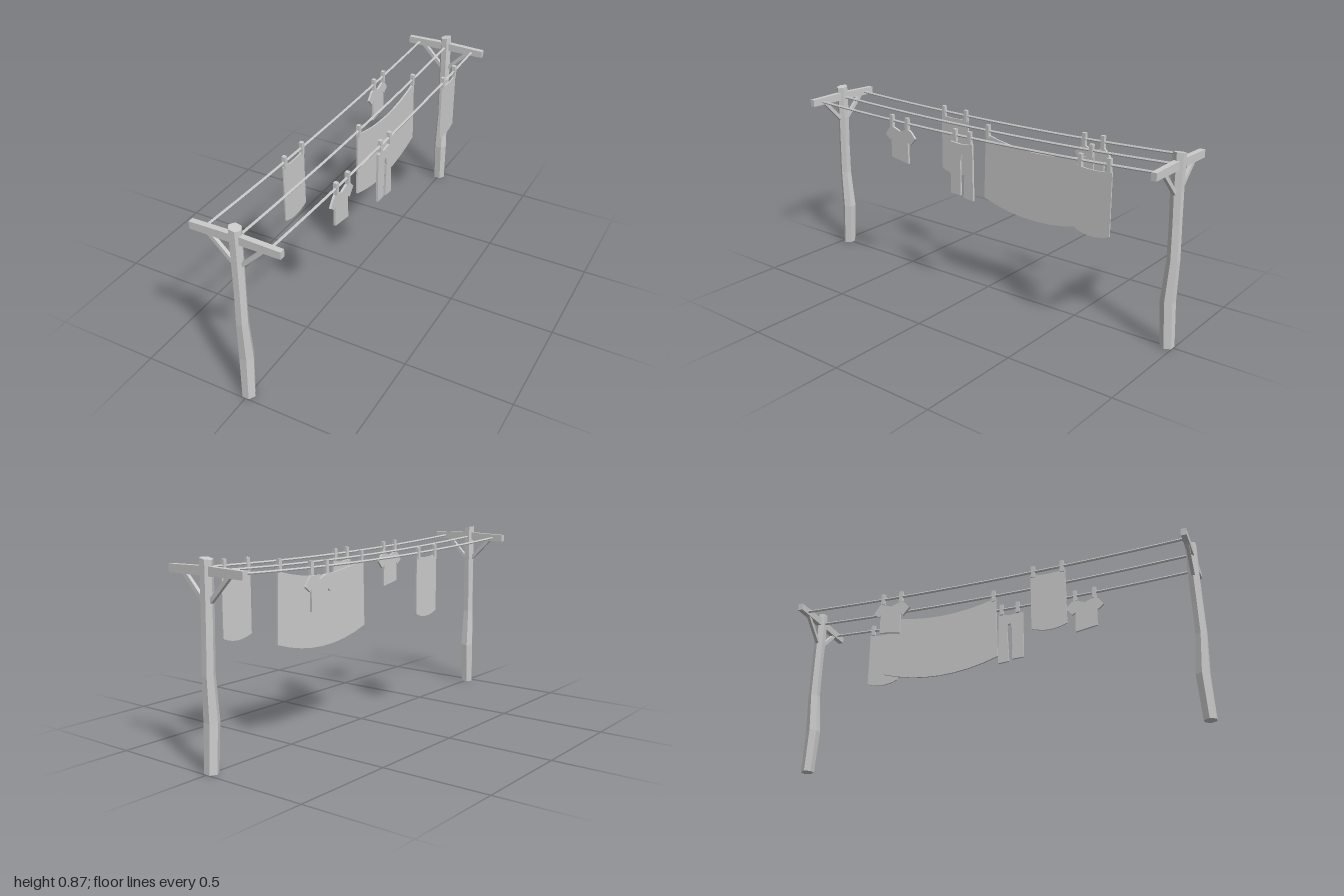
import * as THREE from 'three';

const mat = new THREE.MeshStandardMaterial({ color: 0xcccccc, flatShading: true, side: THREE.DoubleSide });
const END = 0.965, LINE_X = 0.147;
const ropeY = z => 0.785 + 0.023 * (z / END) ** 2;

function add(parent, geo, name) {
  const mesh = new THREE.Mesh(geo, mat);
  mesh.name = name;
  parent.add(mesh);
  return mesh;
}

// Move every vertex of a geometry by a rule
function warp(geo, rule) {
  const p = geo.attributes.position, v = new THREE.Vector3();
  for (let i = 0; i < p.count; i++) {
    rule(v.fromBufferAttribute(p, i));
    p.setXYZ(i, v.x, v.y, v.z);
  }
  geo.computeVertexNormals();
  return geo;
}

// Crooked six-sided post with a crossbar and two braces
function makePost() {
  const g = new THREE.Group();
  // rings: height, radius, x offset, z offset
  const rings = [
    [0, 0.031, 0, 0.006], [0.21, 0.034, -0.002, -0.005], [0.4, 0.028, 0, 0.006],
    [0.56, 0.027, 0.001, 0.003], [0.7, 0.028, 0, 0], [0.86, 0.028, 0.001, 0],
  ];
  const n = rings.length - 1;
  add(g, warp(new THREE.CylinderGeometry(1, 1, n, 6, n).rotateY(Math.PI / 6), v => {
    const i = Math.round(v.y + n / 2), [y, r, dx, dz] = rings[i];
    v.set(v.x * r + dx, y - (i === n ? v.x * 0.005 : 0), v.z * r + dz);
  }), 'post');

  // Crossbar, slightly crowned in the middle
  add(g, warp(new THREE.BoxGeometry(0.412, 0.035, 0.025, 4, 1, 1), v => {
    if (v.y > 0) v.y += 0.004 - Math.abs(v.x) * 0.025;
    v.y += 0.8095;
  }), 'crossbar');

  for (const s of [-1, 1]) {
    const brace = add(g, new THREE.BoxGeometry(0.155, 0.018, 0.016), 'brace');
    brace.position.set(s * 0.075, 0.748, 0);
    brace.rotation.z = s * Math.PI / 4;
  }
  return g;
}

// Cloth outline drawn as (z, y), given a thickness along x
function cloth(parent, shape, x, thick, name) {
  const geo = new THREE.ExtrudeGeometry(shape, { depth: thick, bevelEnabled: false, curveSegments: 8 });
  geo.translate(0, 0, -thick / 2).rotateY(-Math.PI / 2);
  add(parent, geo, name).position.x = x;
}

// Hanging rectangle with sagging top and bottom edges
function sheetShape(z0, z1, top, bottom, sagTop, sagBottom, flare = 0) {
  const s = new THREE.Shape(), m = (z0 + z1) / 2;
  s.moveTo(z0 - flare, bottom);
  s.quadraticCurveTo(m, bottom - 2 * sagBottom, z1 + flare, bottom);
  s.lineTo(z1, top);
  s.quadraticCurveTo(m, top - 2 * sagTop, z0, top);
  s.closePath();
  return s;
}

function outline(points, z = 0, flip = 1) {
  return new THREE.Shape(points.map(([a, y]) => new THREE.Vector2(z + flip * a, y)));
}

const SHIRT = [
  [0.025, 0.752], [0.055, 0.762], [0.072, 0.745], [0.093, 0.715], [0.063, 0.692], [0.056, 0.705],
  [0.056, 0.608], [-0.052, 0.59], [-0.05, 0.695], [-0.066, 0.683], [-0.098, 0.72],
  [-0.072, 0.75], [-0.052, 0.76], [-0.022, 0.75], [0, 0.742],
];

const TROUSERS = [
  [0.1, 0.752], [0.1, 0.505], [0.042, 0.503], [0.043, 0.58], [0.042, 0.67], [0.036, 0.696],
  [0.029, 0.7], [0.021, 0.693], [0.016, 0.66], [0.02, 0.58], [0.024, 0.495], [-0.032, 0.49],
  [-0.028, 0.755], [0.035, 0.747],
];

export function createModel() {
  const model = new THREE.Group();
  model.name = 'washingLine';

  // Posts at both ends, the back one turned round
  for (const s of [1, -1]) {
    const post = makePost();
    post.name = s > 0 ? 'frontPost' : 'backPost';
    post.position.z = s * END;
    if (s < 0) post.rotation.y = Math.PI;
    model.add(post);
  }

  // Three sagging lines
  for (const x of [-LINE_X, 0, LINE_X]) {
    const pts = [];
    for (let i = 0; i <= 8; i++) {
      const z = END * (i / 4 - 1);
      pts.push(new THREE.Vector3(x, ropeY(z), z));
    }
    add(model, new THREE.TubeGeometry(new THREE.CatmullRomCurve3(pts), 16, 0.006, 6), 'line');
  }

  // Pegs on each line
  const pegs = [
    [LINE_X, [-0.735, -0.597, -0.012, 0.073, 0.37, 0.467]],
    [0, [-0.558, 0]],
    [-LINE_X, [-0.525, -0.428, 0.253, 0.393]],
  ];
  for (const [x, zs] of pegs) {
    for (const z of zs) {
      add(model, new THREE.BoxGeometry(0.017, 0.058, 0.018), 'peg').position.set(x, ropeY(z) - 0.001, z);
    }
  }

  // Washing
  cloth(model, sheetShape(-0.57, 0.012, 0.77, 0.457, 0.043, 0.052, 0.008), 0, 0.008, 'sheet');
  cloth(model, sheetShape(-0.75, -0.583, 0.77, 0.492, 0.008, 0.018), LINE_X, 0.006, 'backTowel');
  cloth(model, sheetShape(0.24, 0.408, 0.77, 0.492, 0.008, 0.018), -LINE_X, 0.006, 'frontTowel');
  cloth(model, outline(SHIRT, 0.42), LINE_X - 0.004, 0.01, 'frontShirt');
  cloth(model, outline(SHIRT, -0.477, -1), -LINE_X - 0.004, 0.01, 'backShirt');
  cloth(model, outline(TROUSERS), LINE_X, 0.01, 'trousers');

  return model;
}
